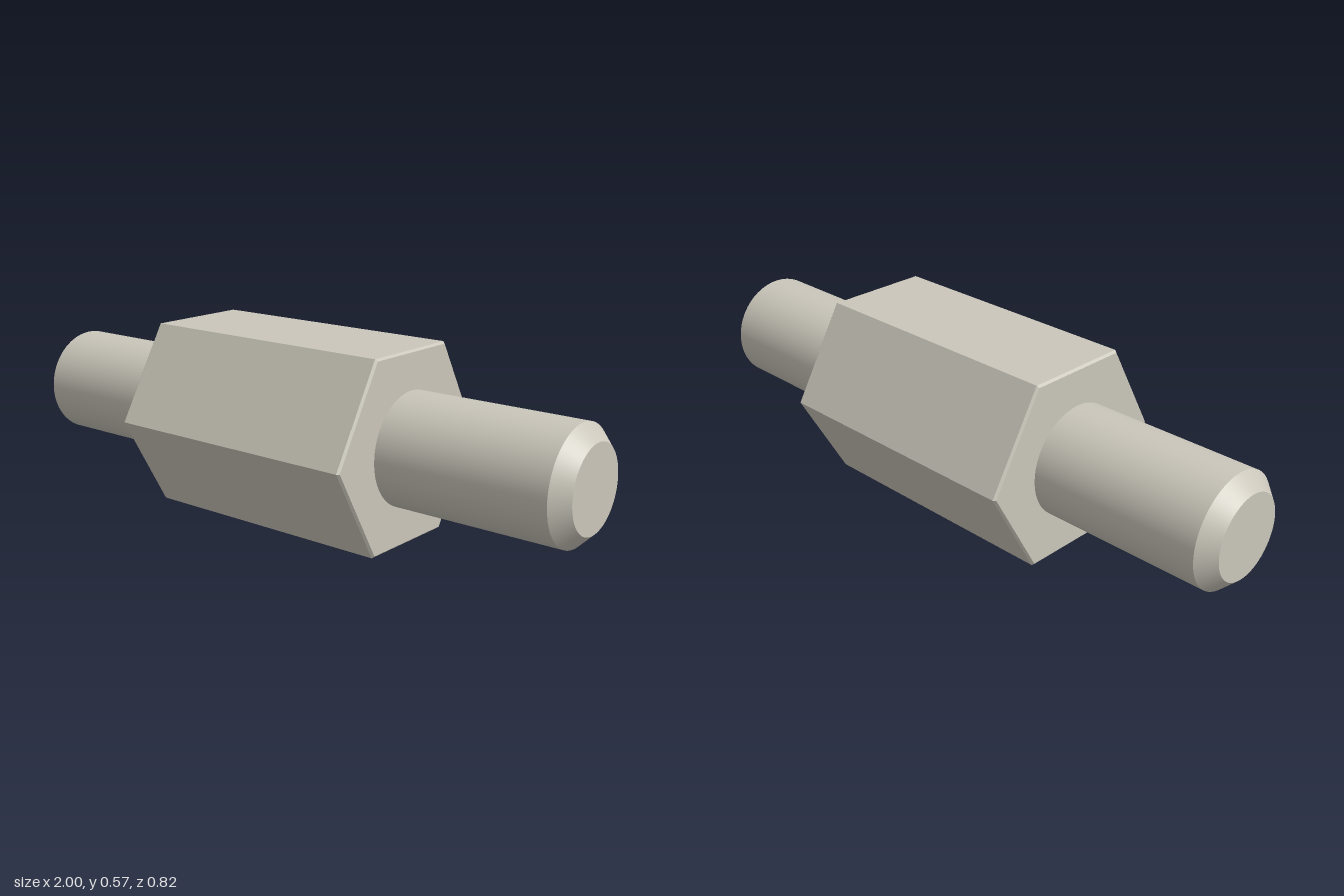
import * as THREE from 'three';
import { toCreasedNormals } from 'three/addons/utils/BufferGeometryUtils.js';

// Revolved profile of [radius, position] pairs, laid along x, with sharp edges kept
function turned(profile, sides) {
  const points = profile.map(([r, y]) => new THREE.Vector2(r, y));
  const geometry = new THREE.LatheGeometry(points, sides).rotateZ(-Math.PI / 2);
  return toCreasedNormals(geometry, 0.5);
}

export function createModel() {
  const metal = new THREE.MeshStandardMaterial({ color: 0xcac6ba });
  metal.name = 'warm grey metal';

  const flat = 0.285;                          // centre to a flat of the hexagon
  const corner = flat / Math.cos(Math.PI / 6); // centre to a corner
  const half = 0.421;                          // half length of the hexagonal body
  const bevel = 0.007;
  const radius = 0.17, tip = 0.996, chamfer = 0.045;

  const fitting = new THREE.Group();
  fitting.name = 'hexStandoff';

  // Hexagonal body with thin bevels at both ends
  const body = new THREE.Mesh(turned([
    [0, -half], [corner - bevel, -half], [corner, -half + bevel],
    [corner, half - bevel], [corner - bevel, half], [0, half],
  ], 6), metal);
  body.name = 'hexBody';
  fitting.add(body);

  // Round studs with chamfered tips
  const studGeometry = turned([
    [radius, half - 0.01], [radius, tip - chamfer], [radius - chamfer, tip], [0, tip],
  ], 72);
  for (const [name, turn] of [['leftStud', 0], ['rightStud', Math.PI]]) {
    const stud = new THREE.Mesh(studGeometry, metal);
    stud.name = name;
    stud.rotation.y = turn;
    fitting.add(stud);
  }

  // Lies on a flat, turned slightly towards the front
  fitting.rotation.y = THREE.MathUtils.degToRad(-12);
  fitting.position.y = flat;

  const model = new THREE.Group();
  model.name = 'standoff';
  model.add(fitting);
  return model;
}
